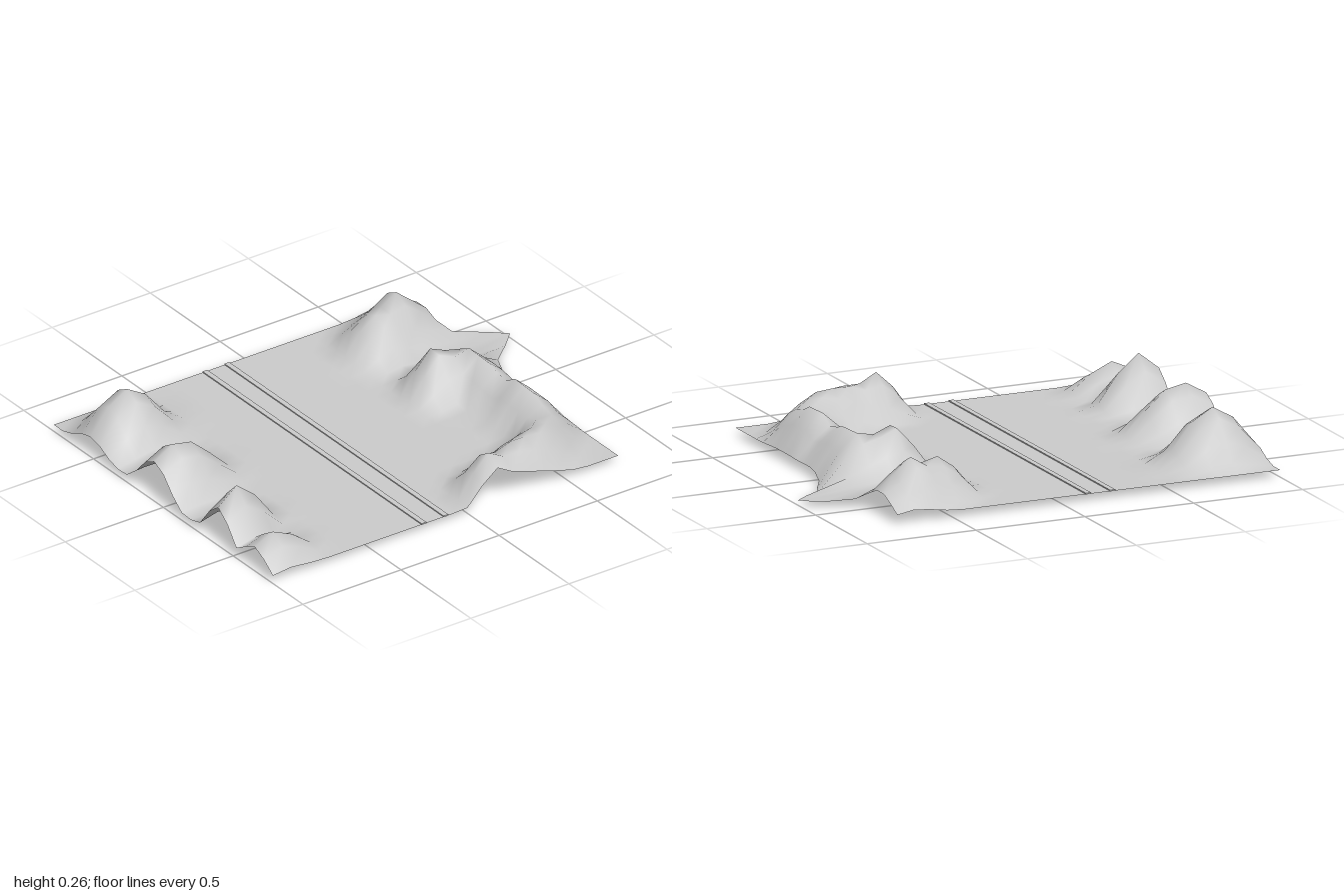
import * as THREE from 'three';

const BASE = 0.04;

// Each ridge: falloff radii along x and z, and a crest line of [x, z, height above base]
const ridges = [
  // row of hills on the -x side
  { rx: 0.29, rz: 0.26, crest: [[-0.812, -0.523, 0.23]] },
  { rx: 0.28, rz: 0.23, crest: [[-0.906, -0.065, 0.21], [-0.85, -0.065, 0.2]] },
  { rx: 0.24, rz: 0.18, crest: [[-0.906, 0.392, 0.225]] },
  { rx: 0.24, rz: 0.17, crest: [[-0.906, 0.654, 0.125]] },
  // twin-peaked hill at the back
  { rx: 0.2, rz: 0.24, crest: [[0.453, -0.523, 0.165], [0.53, -0.56, 0.15], [0.606, -0.589, 0.195], [0.68, -0.62, 0.11]] },
  // knoll joining the curved ridge
  { rx: 0.17, rz: 0.2, crest: [[0.453, -0.1, 0.2], [0.53, -0.1, 0.165], [0.606, -0.07, 0.17]] },
  // ridge curving round to the front edge
  {
    rx: 0.18, rz: 0.21, crest: [
      [0.606, -0.07, 0.17], [0.606, 0.065, 0.165], [0.606, 0.196, 0.13], [0.606, 0.262, 0.175],
      [0.606, 0.392, 0.17], [0.6, 0.458, 0.14], [0.55, 0.55, 0.135], [0.453, 0.63, 0.155],
      [0.3, 0.675, 0.16], [0.222, 0.7, 0.145], [0.145, 0.719, 0.185]]
  }
];

const falloff = t => (t >= 1 ? 0 : 0.5 + 0.5 * Math.cos(Math.PI * t));

function ridgeHeight({ rx, rz, crest }, x, z) {
  let best = 0;
  for (let i = 0; i < crest.length; i++) {
    const a = crest[i], b = crest[Math.min(i + 1, crest.length - 1)];
    const dx = (b[0] - a[0]) / rx, dz = (b[1] - a[1]) / rz;
    const px = (x - a[0]) / rx, pz = (z - a[1]) / rz;
    const len = dx * dx + dz * dz;
    const t = len ? THREE.MathUtils.clamp((px * dx + pz * dz) / len, 0, 1) : 0;
    const h = THREE.MathUtils.lerp(a[2], b[2], t);
    best = Math.max(best, h * falloff(Math.hypot(px - t * dx, pz - t * dz)));
  }
  return best;
}

// Grid columns: even steps under the hills, wider ones across the flat
const columns = [];
for (let i = 0; i <= 5; i++) columns.push(-1 + i * 0.094);
columns.push(-0.38, -0.23);
for (let i = 0; i <= 11; i++) columns.push(-0.085 + i * 0.0768);

// Spur on the +x edge: outward pull and sink of rows 5 to 12
const spurPull = [0.04, 0.17, 0.24, 0.17, 0.085, 0.06, 0.02, 0.008];
const spurSink = [0.008, 0.01, 0.01, 0.014, 0.025, 0.035, 0.025, 0.004];

function terrainGeometry() {
  const nx = columns.length - 1, nz = 24;
  const geo = new THREE.PlaneGeometry(1, 1, nx, nz).rotateX(-Math.PI / 2);
  const pos = geo.attributes.position;
  for (let j = 0; j <= nz; j++) {
    for (let i = 0; i <= nx; i++) {
      const x = columns[i], z = -0.785 + (1.57 * j) / nz;
      let y = BASE + Math.max(...ridges.map(r => ridgeHeight(r, x, z)));
      const weight = i === nx ? 1 : i === nx - 1 ? 0.25 : 0;
      const pull = (spurPull[j - 5] ?? 0) * weight;
      y -= (spurSink[j - 5] ?? 0) * weight;
      pos.setXYZ(j * (nx + 1) + i, x + pull, y, z);
    }
  }
  geo.computeVertexNormals();
  return geo;
}

export function createModel() {
  const model = new THREE.Group();
  model.name = 'landscape';
  const material = new THREE.MeshStandardMaterial({ color: 0xcccccc, side: THREE.DoubleSide });

  const terrain = new THREE.Mesh(terrainGeometry(), material);
  terrain.name = 'terrain';
  model.add(terrain);

  // Two flat rails running from front to back
  const track = new THREE.Group();
  track.name = 'track';
  for (const x of [-0.23, -0.118]) {
    const rail = new THREE.Mesh(new THREE.BoxGeometry(0.024, 0.006, 1.57), material);
    rail.position.set(x, BASE + 0.002, 0);
    rail.name = 'rail';
    track.add(rail);
  }
  model.add(track);
  return model;
}
